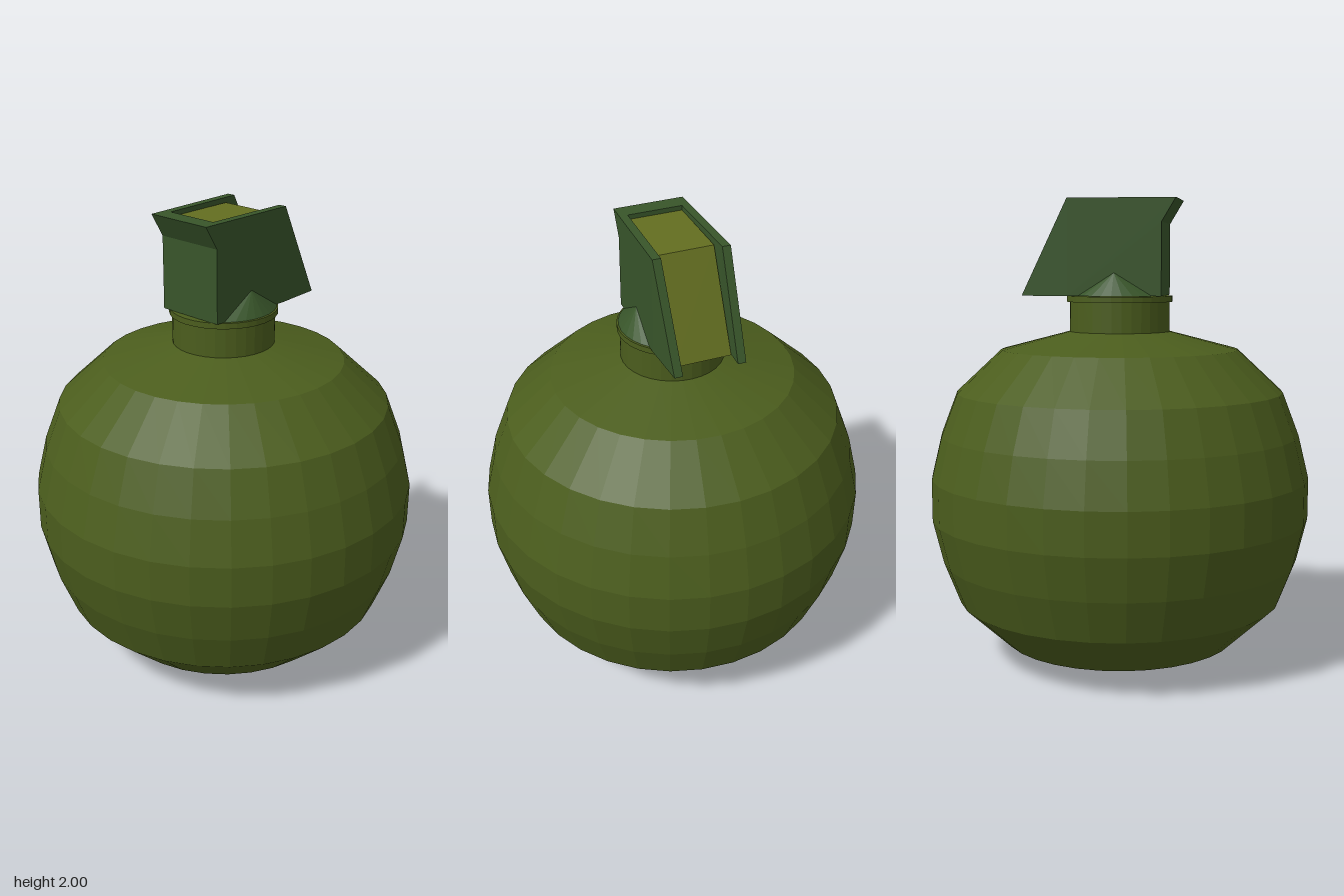
import * as THREE from 'three';

const material = (color) => new THREE.MeshStandardMaterial({ color, flatShading: true, side: THREE.DoubleSide });

export function createModel() {
  const group = new THREE.Group();
  const olive = material(0x4b5d1d);
  const green = material(0x38552a);
  const yellow = material(0x636e20);

  const add = (name, geometry, mat) => {
    const mesh = new THREE.Mesh(geometry, mat);
    mesh.name = name;
    group.add(mesh);
  };
  const lathe = (points) => new THREE.LatheGeometry(points.map(([r, y]) => new THREE.Vector2(r, y)), 32);
  const slab = (points, z0, z1) => {
    const shape = new THREE.Shape(points.map(([x, y]) => new THREE.Vector2(x, y)));
    return new THREE.ExtrudeGeometry(shape, { depth: z1 - z0, bevelEnabled: false }).translate(0, 0, z0);
  };

  // Round faceted body
  add('body', lathe([
    [0, 0], [0.22, 0.003], [0.515, 0.08], [0.71, 0.263], [0.78, 0.445], [0.825, 0.632],
    [0.825, 0.81], [0.78, 0.995], [0.71, 1.178], [0.515, 1.36], [0.22, 1.437], [0, 1.437],
  ]), olive);

  // Neck with a thin rim
  add('neck', lathe([[0.217, 1.42], [0.217, 1.565], [0.229, 1.565], [0.229, 1.59], [0, 1.59]]), olive);

  // Outer and inner faces of the side plates lean in slightly toward both ends
  const outerZ = (x) => (x < 0.2 ? 0.16 - 0.01 * (0.2 - x) / 0.46 : 0.16 - 0.05 * (x - 0.2));
  const bendPlate = (geometry) => {
    const p = geometry.attributes.position;
    for (let i = 0; i < p.count; i++) {
      const s = Math.sign(p.getZ(i));
      const outer = Math.abs(p.getZ(i)) > 0.14;
      p.setZ(i, s * (outerZ(p.getX(i)) - (outer ? 0 : 0.035)));
    }
    geometry.computeVertexNormals();
    return geometry;
  };
  const plate = [[-0.26, 2], [-0.2, 1.9], [-0.2, 1.592], [0.2, 1.592], [0.2, 2]];
  const wing = [[0.2, 1.592], [0.4, 1.592], [0.2, 2]];

  for (const s of [1, -1]) {
    const side = s > 0 ? 'front' : 'back';
    const z0 = s > 0 ? 0.12 : -0.16;
    add(side + 'Plate', bendPlate(slab(plate, z0, z0 + 0.04)), green);
    add(side + 'PlateWing', bendPlate(slab(wing, z0, z0 + 0.04)), green);

    // Sloped skirt from the neck rim up to a point on the plate
    const corners = [];
    const steps = 8;
    const arc = (i) => {
      const a = (i / steps - 0.5) * 2 * 0.81;
      return [0.222 * Math.sin(a), 1.592, s * 0.222 * Math.cos(a)];
    };
    for (let i = 0; i < steps; i++) {
      const ends = s > 0 ? [arc(i), arc(i + 1)] : [arc(i + 1), arc(i)];
      corners.push(...ends[0], ...ends[1], 0, 1.69, s * 0.155);
    }
    const skirt = new THREE.BufferGeometry();
    skirt.setAttribute('position', new THREE.Float32BufferAttribute(corners, 3));
    skirt.computeVertexNormals();
    add(side + 'Skirt', skirt, green);
  }

  // Wall joining the two plates
  add('endWall', slab([[-0.26, 2], [-0.2, 1.9], [-0.2, 1.592], [-0.185, 1.592], [-0.185, 2]], -0.1495, 0.1495), green);

  // Inner block between the plates
  add('innerBlock', slab([[-0.19, 1.592], [0.33, 1.592], [0.14, 1.98], [-0.19, 1.98]], -0.117, 0.117), yellow);

  return group;
}
